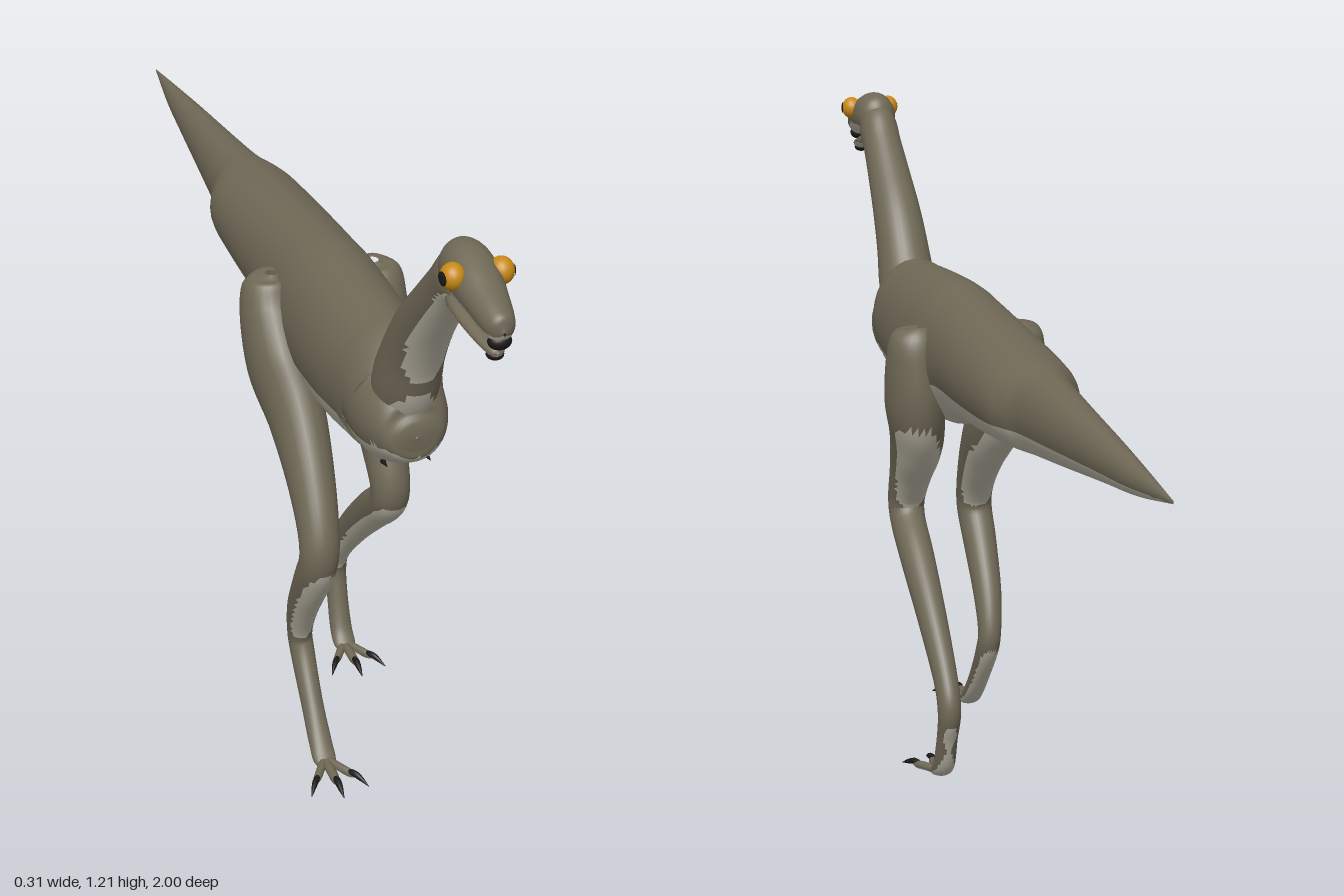
import * as THREE from 'three';

const mat = (name, color) => new THREE.MeshStandardMaterial({ name, color });

export function createModel() {
  const hide = mat('olive hide', 0x6f6856);
  const pale = mat('pale underside', 0xb9b4a4);
  const horn = mat('dark horn', 0x1b1917);
  const amber = mat('amber eye', 0xc88a14);
  const model = new THREE.Group();

  // Smooth tube through sections [x, y, z, half width, half depth];
  // faces that look downward become the pale underside.
  function loft(name, sections, { sides = 32, steps = 5, material = null, cut = -0.33 } = {}) {
    const path = new THREE.CatmullRomCurve3(sections.map(s => new THREE.Vector3(s[0], s[1], s[2])), false, 'catmullrom');
    const size = new THREE.CatmullRomCurve3(sections.map(s => new THREE.Vector3(s[3], s[4], 0)), false, 'catmullrom');
    const rings = (sections.length - 1) * steps;
    const pos = [], index = [];
    const side = new THREE.Vector3(1, 0, 0);
    for (let i = 0; i <= rings; i++) {
      const t = i / rings;
      const c = path.getPoint(t), r = size.getPoint(t);
      const tangent = path.getTangent(t).setX(0).normalize();
      const up = tangent.cross(side);
      for (let j = 0; j < sides; j++) {
        const a = (j / sides) * Math.PI * 2;
        const p = c.clone()
          .addScaledVector(side, Math.cos(a) * Math.max(r.x, 0.0005))
          .addScaledVector(up, Math.sin(a) * Math.max(r.y, 0.0005));
        pos.push(p.x, p.y, p.z);
      }
    }
    for (let i = 0; i < rings; i++) {
      for (let j = 0; j < sides; j++) {
        const k = (j + 1) % sides;
        const a = i * sides + j, b = i * sides + k;
        const c = a + sides, d = b + sides;
        index.push(a, b, d, a, d, c);
      }
    }
    const geo = new THREE.BufferGeometry();
    geo.setAttribute('position', new THREE.Float32BufferAttribute(pos, 3));
    geo.setIndex(index);
    geo.computeVertexNormals();
    if (!material) {
      const n = geo.attributes.normal, top = [], under = [];
      for (let f = 0; f < index.length; f += 3) {
        const tri = index.slice(f, f + 3);
        const ny = tri.reduce((s, v) => s + n.getY(v), 0) / 3;
        (ny < cut ? under : top).push(...tri);
      }
      geo.setIndex([...top, ...under]);
      geo.addGroup(0, top.length, 0);
      geo.addGroup(top.length, under.length, 1);
    }
    const mesh = new THREE.Mesh(geo, material || [hide, pale]);
    mesh.name = name;
    model.add(mesh);
    return mesh;
  }

  function ball(name, material, [x, y, z], [sx, sy, sz]) {
    const mesh = new THREE.Mesh(new THREE.SphereGeometry(1, 20, 14), material);
    mesh.name = name;
    mesh.position.set(x, y, z);
    mesh.scale.set(sx, sy, sz);
    model.add(mesh);
    return mesh;
  }

  // Torso and tail: [z, top, bottom, half width]
  const torso = [
    [-1, 0.842, 0.838, 0.001], [-0.85, 0.855, 0.808, 0.018], [-0.7, 0.868, 0.788, 0.031],
    [-0.5, 0.884, 0.76, 0.046], [-0.37, 0.895, 0.743, 0.058], [-0.32, 0.9, 0.737, 0.074],
    [-0.26, 0.905, 0.731, 0.089], [-0.1, 0.919, 0.715, 0.093], [0.06, 0.932, 0.702, 0.093],
    [0.18, 0.94, 0.667, 0.098], [0.35, 0.931, 0.663, 0.098], [0.46, 0.923, 0.673, 0.091],
    [0.505, 0.918, 0.68, 0.087], [0.535, 0.885, 0.685, 0.083], [0.585, 0.86, 0.695, 0.074],
    [0.62, 0.83, 0.715, 0.058], [0.635, 0.803, 0.743, 0.034], [0.64, 0.774, 0.772, 0.001],
  ];
  loft('torsoAndTail', torso.map(([z, t, b, w]) => [0, (t + b) / 2, z, w, (t - b) / 2]));

  // Neck
  loft('neck', [
    [0, 0.76, 0.53, 0.05, 0.05], [0, 0.85, 0.58, 0.056, 0.062], [0, 0.92, 0.615, 0.052, 0.055],
    [0, 0.985, 0.66, 0.048, 0.05], [0, 1.05, 0.72, 0.043, 0.044], [0, 1.105, 0.775, 0.039, 0.042],
    [0, 1.145, 0.82, 0.037, 0.045], [0, 1.16, 0.85, 0.02, 0.02],
  ]);

  // Head: skull with snout, and a separate lower jaw
  loft('skull', [
    [0, 1.15, 0.79, 0.005, 0.01], [0, 1.155, 0.81, 0.034, 0.04], [0, 1.16, 0.84, 0.041, 0.047],
    [0, 1.155, 0.88, 0.041, 0.041], [0, 1.142, 0.93, 0.034, 0.032], [0, 1.13, 0.97, 0.027, 0.028],
    [0, 1.124, 0.99, 0.019, 0.022], [0, 1.122, 1, 0.002, 0.003],
  ]);
  loft('lowerJaw', [
    [0, 1.115, 0.81, 0.025, 0.022], [0, 1.107, 0.85, 0.033, 0.017], [0, 1.097, 0.9, 0.029, 0.012],
    [0, 1.087, 0.945, 0.021, 0.01], [0, 1.081, 0.972, 0.012, 0.008], [0, 1.08, 0.98, 0.001, 0.001],
  ], { sides: 20 });
  ball('upperBeak', horn, [0, 1.104, 0.981], [0.019, 0.014, 0.015]);
  ball('lowerBeak', horn, [0, 1.075, 0.964], [0.014, 0.009, 0.014]);

  for (const s of [1, -1]) {
    // Eyes with a thin pupil cap, and nostrils
    ball('eye', amber, [s * 0.039, 1.171, 0.883], [0.02, 0.022, 0.022]);
    const pupil = new THREE.Mesh(new THREE.SphereGeometry(0.0225, 16, 6, 0, Math.PI * 2, 0, 0.55), horn);
    pupil.name = 'pupil';
    pupil.position.set(s * 0.038, 1.171, 0.883);
    pupil.quaternion.setFromUnitVectors(new THREE.Vector3(0, 1, 0), new THREE.Vector3(s, 0, 0.2).normalize());
    model.add(pupil);
    ball('nostril', horn, [s * 0.016, 1.141, 0.979], [0.003, 0.003, 0.004]);

    // Tiny claw tips on the breast
    const tip = new THREE.Mesh(new THREE.ConeGeometry(0.005, 0.025, 8), horn);
    tip.name = 'breastClaw';
    tip.position.set(s * 0.038, 0.708, 0.595);
    tip.rotation.x = Math.PI / 2;
    model.add(tip);
  }

  // Legs in mid stride, from hip to foot
  const hip = [[0.095, 0.868, 0.14, 0.01, 0.012], [0.1, 0.855, 0.14, 0.042, 0.043], [0.1, 0.8, 0.148, 0.053, 0.063]];
  const rearLeg = [
    ...hip, [0.095, 0.71, 0.165, 0.056, 0.079], [0.083, 0.635, 0.203, 0.05, 0.071],
    [0.08, 0.56, 0.255, 0.041, 0.051], [0.081, 0.495, 0.288, 0.036, 0.038],
    [0.082, 0.452, 0.275, 0.034, 0.036], [0.083, 0.4, 0.205, 0.033, 0.038],
    [0.082, 0.31, 0.1, 0.028, 0.034], [0.08, 0.215, 0.01, 0.023, 0.028],
    [0.08, 0.16, -0.018, 0.022, 0.026], [0.08, 0.1, -0.002, 0.02, 0.02],
    [0.08, 0.038, 0.022, 0.021, 0.018], [0.08, 0.014, 0.05, 0.02, 0.011], [0.08, 0.01, 0.07, 0.004, 0.004],
  ];
  const frontLeg = [
    ...hip, [0.095, 0.71, 0.19, 0.056, 0.081], [0.083, 0.635, 0.255, 0.05, 0.07],
    [0.082, 0.56, 0.325, 0.043, 0.054], [0.085, 0.485, 0.382, 0.037, 0.041],
    [0.088, 0.43, 0.398, 0.035, 0.036], [0.09, 0.37, 0.367, 0.033, 0.037],
    [0.088, 0.28, 0.305, 0.028, 0.032], [0.083, 0.21, 0.27, 0.023, 0.026],
    [0.08, 0.165, 0.278, 0.022, 0.025], [0.08, 0.09, 0.335, 0.02, 0.021],
    [0.08, 0.036, 0.385, 0.021, 0.016], [0.08, 0.013, 0.415, 0.02, 0.011], [0.08, 0.01, 0.435, 0.004, 0.004],
  ];
  const legs = [['leftLeg', 1, rearLeg, 0.04], ['rightLeg', -1, frontLeg, 0.41]];
  for (const [name, s, sections, footZ] of legs) {
    loft(name, sections.map(([x, ...rest]) => [s * x, ...rest]), { sides: 28 });

    // Three spread toes, each with a curved claw
    for (const spread of [-1, 0, 1]) {
      const len = spread ? 0.065 : 0.08;
      const at = (k, y, w, h) => [s * 0.08 + spread * 0.038 * k, y, footZ + len * k, w, h];
      loft('toe', [at(0, 0.014, 0.009, 0.009), at(0.4, 0.014, 0.009, 0.008), at(0.8, 0.012, 0.008, 0.008),
        at(1, 0.011, 0.003, 0.003)], { sides: 12, steps: 4 });
      loft('claw', [at(0.75, 0.014, 0.005, 0.005), at(0.95, 0.016, 0.0065, 0.006),
        at(1.15, 0.012, 0.005, 0.005), at(1.42, 0.004, 0.0005, 0.0005)], { sides: 10, steps: 4, material: horn });
    }
  }
  return model;
}
